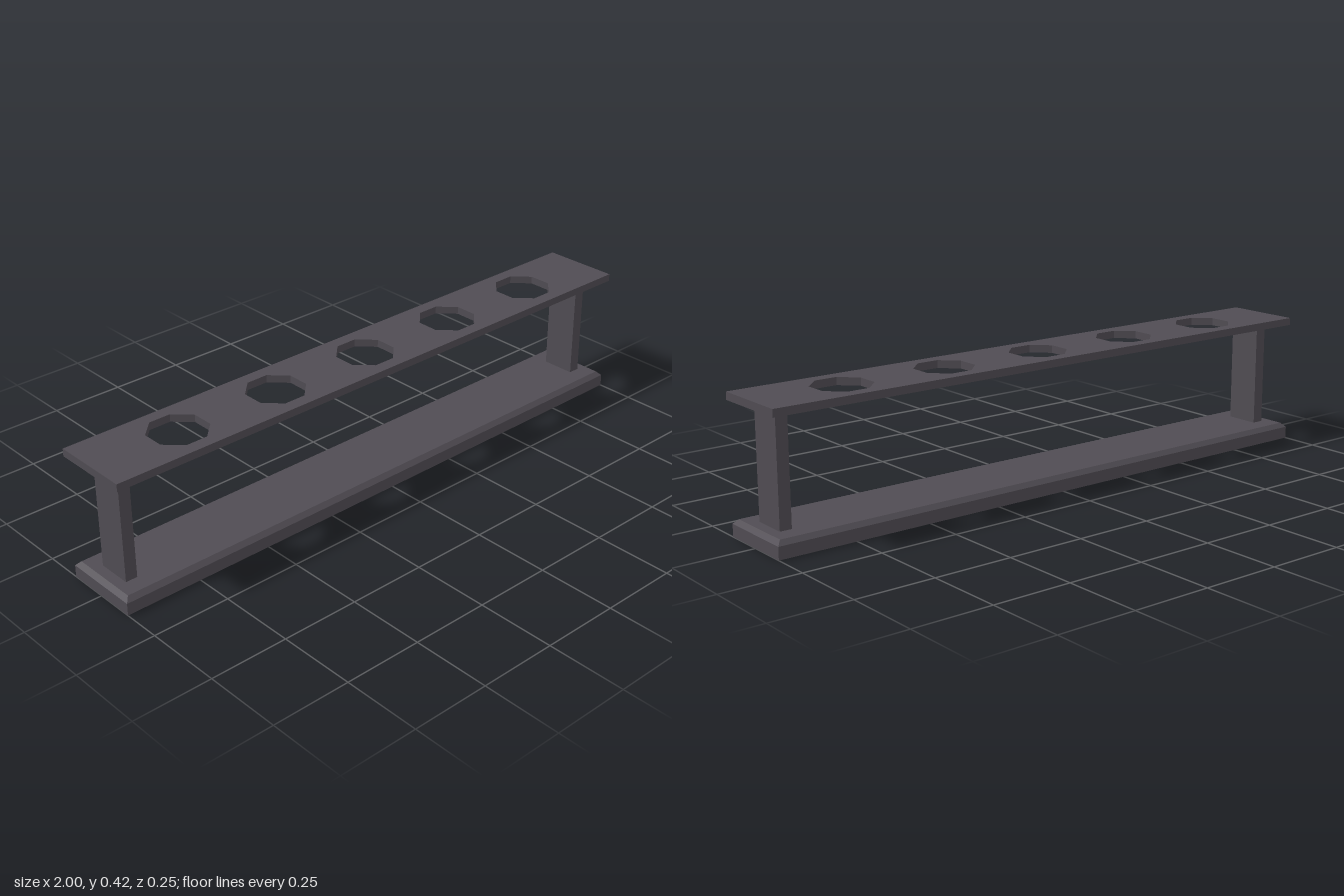
import * as THREE from 'three';

const HALF_X = 1, HALF_Z = 0.127;

// Slab with a bevelled upper rim
function bevelledSlab(height, shoulder, inset) {
  const geo = new THREE.BoxGeometry(2 * HALF_X, 2, 2 * HALF_Z, 1, 2, 1).toNonIndexed();
  const p = geo.attributes.position;
  for (let i = 0; i < p.count; i++) {
    const level = Math.round(p.getY(i)); // -1 bottom, 0 shoulder, 1 top
    p.setY(i, level < 0 ? 0 : level === 0 ? shoulder : height);
    if (level > 0) {
      p.setX(i, Math.sign(p.getX(i)) * (HALF_X - inset));
      p.setZ(i, Math.sign(p.getZ(i)) * (HALF_Z - inset));
    }
  }
  geo.computeVertexNormals();
  return geo;
}

// Flat plate with a row of octagonal holes
function holedPlate(thickness) {
  const shape = new THREE.Shape([
    new THREE.Vector2(-HALF_X, -HALF_Z), new THREE.Vector2(HALF_X, -HALF_Z),
    new THREE.Vector2(HALF_X, HALF_Z), new THREE.Vector2(-HALF_X, HALF_Z),
  ]);
  const radius = 0.086 / Math.cos(Math.PI / 8);
  for (let n = -2; n <= 2; n++) {
    const corners = [];
    for (let k = 0; k < 8; k++) {
      const a = -(k + 0.5) * Math.PI / 4;
      corners.push(new THREE.Vector2(n * 0.353 + radius * Math.cos(a), radius * Math.sin(a)));
    }
    shape.holes.push(new THREE.Path(corners));
  }
  const geo = new THREE.ExtrudeGeometry(shape, { depth: thickness, bevelEnabled: false });
  return geo.rotateX(-Math.PI / 2);
}

export function createModel() {
  const group = new THREE.Group();
  group.name = 'holderRack';
  const darkGrey = new THREE.MeshStandardMaterial({ color: 0x504c53, flatShading: true });
  darkGrey.name = 'darkGrey';

  const add = (name, geo, x, y, z) => {
    const mesh = new THREE.Mesh(geo, darkGrey);
    mesh.name = name;
    mesh.position.set(x, y, z);
    group.add(mesh);
  };

  add('base', bevelledSlab(0.053, 0.039, 0.014), 0, 0, 0);
  add('topPlate', holedPlate(0.024), 0, 0.397, 0);

  // End posts between base and top plate
  const post = new THREE.BoxGeometry(0.038, 0.344, 0.112);
  add('leftPost', post, 0.934, 0.225, 0.001);
  add('rightPost', post, -0.934, 0.225, 0.001);

  return group;
}
